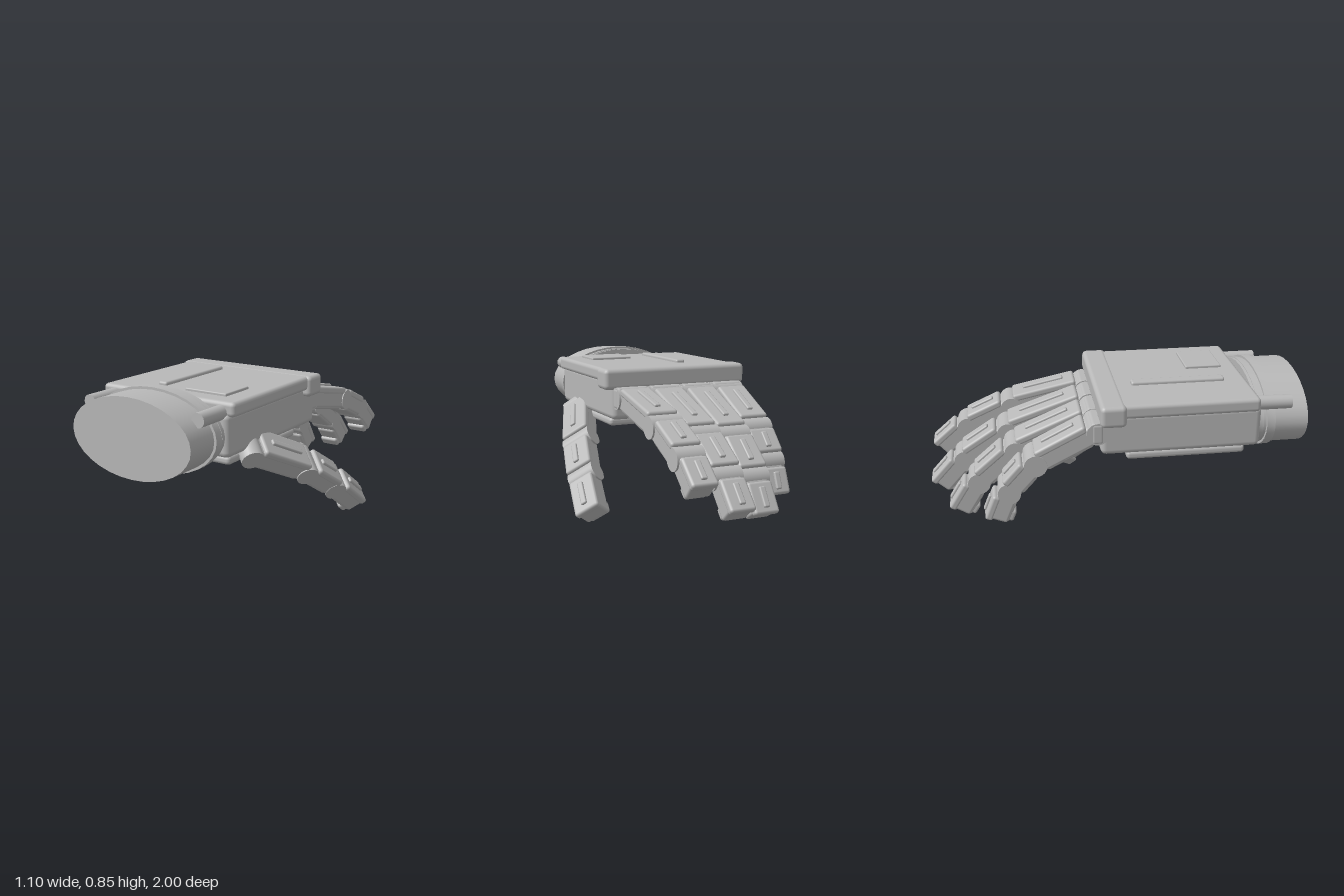
import * as THREE from 'three';
import { RoundedBoxGeometry } from 'three/addons/geometries/RoundedBoxGeometry.js';

const metal = new THREE.MeshStandardMaterial({ color: 0xb8b8b8 });
metal.name = 'light grey';

const V = (x, y, z) => new THREE.Vector3(x, y, z);

function add(parent, name, geometry, x = 0, y = 0, z = 0) {
  const mesh = new THREE.Mesh(geometry, metal);
  mesh.name = name;
  mesh.position.set(x, y, z);
  parent.add(mesh);
  return mesh;
}

// Rounded box given by its min and max on each axis
function block(parent, name, [x0, x1], [y0, y1], [z0, z1], r) {
  const w = x1 - x0, h = y1 - y0, d = z1 - z0;
  const radius = Math.min(r, w * 0.45, h * 0.45, d * 0.45);
  return add(parent, name, new RoundedBoxGeometry(w, h, d, 2, radius),
    (x0 + x1) / 2, (y0 + y1) / 2, (z0 + z1) / 2);
}

// Oval cylinder lying along z
function oval(parent, name, x, y, z0, z1, rx, ry, sides = 32) {
  const g = new THREE.CylinderGeometry(1, 1, z1 - z0, sides);
  g.rotateX(Math.PI / 2).scale(rx, ry, 1);
  g.computeVertexNormals();
  return add(parent, name, g, x, y, (z0 + z1) / 2);
}

// Bone from a to b: local z runs along it, local y points to the back of the hand
function phalanx(parent, name, a, b, up, width, isTip) {
  const dir = b.clone().sub(a);
  const L = dir.length();
  dir.normalize();
  const n = up.clone().addScaledVector(dir, -up.dot(dir)).normalize();
  const side = n.clone().cross(dir);
  const g = new THREE.Group();
  g.name = name;
  g.quaternion.setFromRotationMatrix(new THREE.Matrix4().makeBasis(side, n, dir));
  g.position.copy(a);
  parent.add(g);

  const h = width / 2;
  const end = isTip ? L : L - 0.025;
  // hinge barrel across the start of the bone
  const barrel = new THREE.CylinderGeometry(0.06, 0.06, width + 0.012, 24);
  barrel.rotateZ(Math.PI / 2);
  add(g, 'joint', barrel);
  block(g, 'core', [-h + 0.004, h - 0.004], [-0.05, 0.052], [0, isTip ? L - 0.01 : L], 0.015);
  block(g, 'underPlate', [-h + 0.008, h - 0.008], [-0.06, -0.02], [0.045, end - 0.015], 0.018);
  block(g, 'backPlate', [-h, h], [0.03, 0.073], [0.04, end], 0.015);
  // raised rib on the back plate
  const mid = (0.04 + end) / 2, half = (end - 0.04) * 0.32;
  block(g, 'rib', [-0.017, 0.017], [0.065, 0.086], [mid - half, mid + half], 0.008);
  if (isTip) {
    block(g, 'fingerPad', [-h + 0.012, h - 0.012], [-0.078, -0.04], [L - 0.09, L - 0.025], 0.014);
  }
}

export function createModel() {
  const hand = new THREE.Group();
  hand.name = 'mechanicalHand';
  const cx = -0.115;

  // Wrist
  const wrist = new THREE.Group();
  wrist.name = 'wrist';
  hand.add(wrist);
  oval(wrist, 'cuff', cx, 0.67, 0.72, 1, 0.368, 0.205);
  oval(wrist, 'cuffRing', cx, 0.67, 0.775, 0.82, 0.382, 0.218);
  oval(wrist, 'cuffCollar', cx, 0.67, 0.735, 0.76, 0.372, 0.209);
  for (const s of [-1, 1]) {
    oval(wrist, 'piston', cx + s * 0.338, 0.788, 0.68, 0.905, 0.037, 0.037, 16);
  }

  // Palm
  const palm = new THREE.Group();
  palm.name = 'palm';
  hand.add(palm);
  block(palm, 'palmBody', [-0.505, 0.275], [0.562, 0.785], [-0.1, 0.74], 0.03);
  block(palm, 'palmPad', [-0.46, 0.235], [0.505, 0.552], [0.04, 0.675], 0.02);
  block(palm, 'palmPadMount', [-0.43, 0.205], [0.54, 0.58], [0.07, 0.645], 0.01);
  block(palm, 'backOfHandPlate', [-0.528, 0.302], [0.767, 0.842], [-0.09, 0.725], 0.022);
  block(palm, 'knuckleBar', [-0.548, 0.32], [0.73, 0.845], [-0.105, 0.03], 0.025);
  block(palm, 'longRib', [-0.262, -0.207], [0.825, 0.86], [0.095, 0.6], 0.012);
  block(palm, 'squareHatch', [-0.062, 0.19], [0.83, 0.856], [0.432, 0.632], 0.006);

  // Fingers: x position, bone lengths and downward angles
  const fingers = [
    ['littleFinger', -0.415, [0.36, 0.21, 0.185], [27, 48, 68]],
    ['ringFinger', -0.223, [0.45, 0.27, 0.21], [23, 41, 58]],
    ['middleFinger', -0.025, [0.475, 0.29, 0.22], [19, 33, 48]],
    ['indexFinger', 0.173, [0.43, 0.275, 0.213], [12, 24, 41]],
  ];
  const bones = ['lowerBone', 'middleBone', 'tipBone'];
  for (const [name, x, lengths, angles] of fingers) {
    const finger = new THREE.Group();
    finger.name = name;
    hand.add(finger);
    let a = V(x, 0.685, -0.115);
    block(finger, 'knuckle', [x - 0.095, x + 0.095], [0.625, 0.745], [-0.15, -0.08], 0.02);
    lengths.forEach((len, i) => {
      const t = THREE.MathUtils.degToRad(angles[i]);
      const b = a.clone().add(V(0, -Math.sin(t) * len, -Math.cos(t) * len));
      phalanx(finger, bones[i], a, b, V(0, 1, 0), [0.172, 0.162, 0.142][i], i === 2);
      a = b;
    });
  }

  // Thumb, turned outwards and down
  const thumb = new THREE.Group();
  thumb.name = 'thumb';
  hand.add(thumb);
  const path = [V(0.24, 0.565, 0.515), V(0.365, 0.4, 0.175), V(0.42, 0.25, -0.05), V(0.452, 0.088, -0.26)];
  for (let i = 0; i < 3; i++) {
    phalanx(thumb, bones[i], path[i], path[i + 1], V(0.65, 0.65, -0.15), [0.172, 0.166, 0.15][i], i === 2);
  }
  return hand;
}
